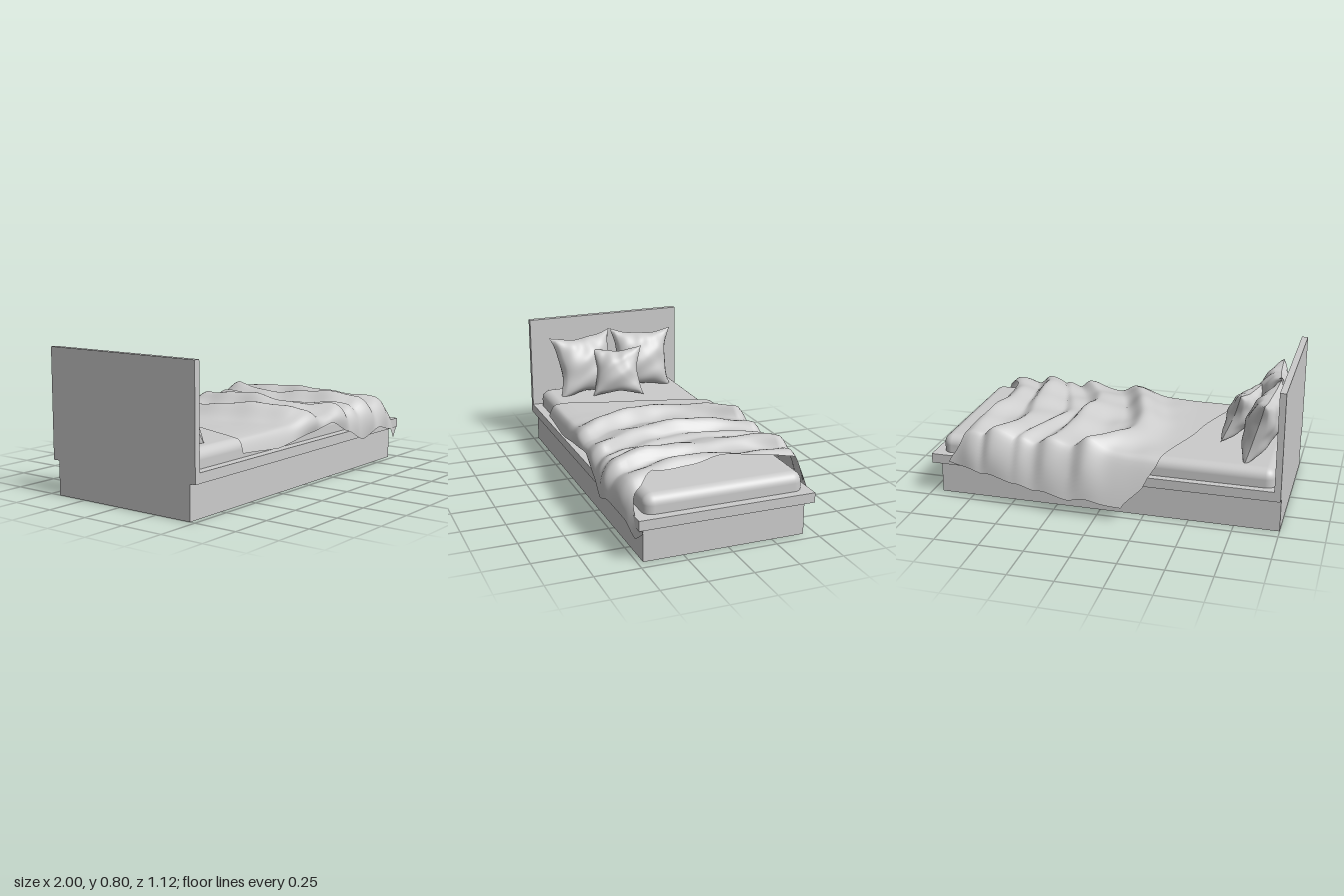
import * as THREE from 'three';
import { mergeVertices } from 'three/addons/utils/BufferGeometryUtils.js';
import { RoundedBoxGeometry } from 'three/addons/geometries/RoundedBoxGeometry.js';

const grey = new THREE.MeshStandardMaterial({ color: 0xcccccc });
grey.name = 'plain grey';
const greyCloth = new THREE.MeshStandardMaterial({ color: 0xcccccc, side: THREE.DoubleSide });
greyCloth.name = 'plain grey cloth';

function mesh(name, geometry, material = grey) {
  const m = new THREE.Mesh(geometry, material);
  m.name = name;
  return m;
}

// Box given by its limits
function box(name, x0, x1, y0, y1, z0, z1, radius = 0) {
  const size = [x1 - x0, y1 - y0, z1 - z0];
  const g = radius ? new RoundedBoxGeometry(...size, 5, radius) : new THREE.BoxGeometry(...size);
  g.translate((x0 + x1) / 2, (y0 + y1) / 2, (z0 + z1) / 2);
  return mesh(name, g);
}

// Smoothed look-up in a list of [position, value]
function curve(points, t) {
  if (t <= points[0][0]) return points[0][1];
  for (let i = 1; i < points.length; i++) {
    const [a, va] = points[i - 1], [b, vb] = points[i];
    if (t <= b) return va + (vb - va) * (0.5 * (t - a) / (b - a) + 0.5 * THREE.MathUtils.smoothstep(t, a, b));
  }
  return points[points.length - 1][1];
}

// Sheet of (nu x nv) cells placed by a rule; u and v run 0..1
function sheet(nu, nv, rule) {
  const g = new THREE.PlaneGeometry(1, 1, nu, nv);
  const p = g.attributes.position;
  for (let i = 0; i < p.count; i++) p.setXYZ(i, ...rule(p.getX(i) + 0.5, p.getY(i) + 0.5));
  g.computeVertexNormals();
  return g;
}

// Cushion with pointed corners and drawn-in edges, facing +x
function pillow(name, width, height, depth, seed) {
  const n = 28, group = new THREE.Group();
  group.name = name;
  for (const side of [1, -1]) {
    const g = sheet(n, n, (a, b) => {
      const u = a * 2 - 1, v = b * 2 - 1;
      const z = -width / 2 * u * (1 - 0.2 * (1 - v * v) + 0.02 * Math.sin(5 * v + seed) * (1 - v * v));
      const y = height / 2 * v * (1 - 0.17 * (1 - u * u) + 0.02 * Math.sin(6 * u + seed) * (1 - u * u));
      const puff = Math.pow(Math.max(0, (1 - u * u) * (1 - v * v)), 0.5);
      const edge = Math.max(Math.abs(u), Math.abs(v));
      const crease = 1 + 0.09 * edge * Math.sin(9 * u * v + 5 * u + seed) + 0.05 * Math.sin(7 * v - 4 * u + seed);
      return [side * depth / 2 * puff * crease, y, z];
    });
    if (side < 0) g.setIndex(Array.from(g.index.array).reverse());
    g.deleteAttribute('uv');
    g.deleteAttribute('normal');
    const joined = mergeVertices(g);
    joined.computeVertexNormals();
    group.add(mesh(side > 0 ? 'pillowFront' : 'pillowBack', joined));
  }
  return group;
}

// Blanket outline and hems. v runs from the back hem (-1) to the front hem (1)
const headEdge = [[-1, -0.15], [-0.86, -0.27], [-0.72, -0.34], [0, -0.47], [0.7, -0.6], [1, -0.61]];
const footEdge = [[-1, 0.87], [-0.7, 0.78], [0, 0.73], [0.55, 0.75], [0.75, 0.85], [1, 1.0]];
const frontHemY = [[-0.61, 0.28], [-0.3, 0.26], [0, 0.3], [0.2, 0.33], [0.35, 0.26], [0.5, 0.19],
  [0.66, 0.24], [0.85, 0.2], [0.93, 0.13], [1, 0.18]];
const frontHemZ = [[-0.6, 0.5], [0, 0.515], [0.3, 0.53], [0.65, 0.56], [0.85, 0.53], [1, 0.49]];
const backHemY = [[-0.15, 0.08], [0.15, 0.09], [0.5, 0.14], [0.87, 0.21]];
const backHemZ = [[-0.3, -0.55], [0.15, -0.565], [0.4, -0.545], [0.7, -0.53], [0.87, -0.49]];
// Folds: centre x, height, bend toward the foot, back width, steep width
const folds = [[-0.14, 0.08, 0.9, 0.1, 0.06], [0.17, 0.075, 0.7, 0.11, 0.05],
  [0.33, 0.04, 0.5, 0.06, 0.04], [0.5, 0.075, 0.5, 0.11, 0.05], [0.7, 0.06, 0.3, 0.09, 0.06]];

function foldHeight(x, z) {
  let h = 0;
  folds.forEach(([c, amp, bend, back, steep], i) => {
    const d = x - c - bend * z * z - 0.025 * Math.sin(9 * z + i * 2.3);
    const w = d < 0 ? back : steep;
    h = Math.max(h, amp * (0.8 + 0.2 * Math.sin(8 * z + i * 1.9)) * Math.exp(-d * d / (w * w)));
  });
  const worn = THREE.MathUtils.smoothstep(x, -0.4, 0);
  return h + worn * (0.014 + 0.007 * Math.sin(23 * x + 9 * z) * Math.sin(17 * z - 8 * x));
}

function blanketPoint(s, t) {
  const v = t * 2 - 1, e = 0.72;
  const x = THREE.MathUtils.lerp(curve(headEdge, v), curve(footEdge, v), s);
  if (Math.abs(v) <= e) {
    const z = v / e * 0.45;
    const droop = 0.02 * Math.pow(Math.abs(v) / e, 8);
    const flare = 0.06 * THREE.MathUtils.smoothstep(x, 0.78, 0.95);
    return [x, 0.36 - droop * 0.4 - flare + foldHeight(x, z), z];
  }
  // Hanging sides: from the shoulder over the platform edge to the hem
  const k = (Math.abs(v) - e) / (1 - e), front = v > 0;
  const zs = front ? 0.45 : -0.45;
  const f = foldHeight(x, zs);
  const flare = 0.06 * THREE.MathUtils.smoothstep(x, 0.78, 0.95);
  const y0 = 0.352 - flare + f;
  const y1 = curve(front ? frontHemY : backHemY, x) + (front ? 0 : 0.3 * f);
  const z1 = curve(front ? frontHemZ : backHemZ, x);
  const out = Math.pow(k, front ? 0.5 : 0.7);
  const z = zs + (z1 - zs) * out + Math.sign(v) * 0.35 * f * Math.sin(Math.PI * k) * (front ? 1 : 0.6);
  return [x, y0 + (y1 - y0) * (front ? Math.pow(k, 1.2) : k), z];
}

export function createModel() {
  const bed = new THREE.Group();
  bed.name = 'bed';

  // Frame and mattress
  bed.add(box('base', -1, 0.94, 0, 0.19, -0.435, 0.47));
  bed.add(box('platform', -1, 0.98, 0.19, 0.245, -0.475, 0.505));
  bed.add(box('headboard', -1, -0.965, 0.245, 0.8, -0.475, 0.505));
  bed.add(box('mattress', -0.965, 0.93, 0.195, 0.345, -0.435, 0.455, 0.055));

  // Pillows leaning on the headboard: size, position, lean, twist, roll
  const pillows = [
    ['leftPillow', 0.41, 0.4, 0.19, [-0.84, 0.515, 0.19], 0.32, 0.08, 0.05],
    ['rightPillow', 0.4, 0.39, 0.18, [-0.85, 0.515, -0.19], 0.28, -0.08, -0.05],
    ['smallPillow', 0.32, 0.31, 0.15, [-0.71, 0.488, 0.02], 0.36, -0.3, 0.03],
  ];
  pillows.forEach(([name, w, h, d, pos, lean, twist, roll], i) => {
    const p = pillow(name, w, h, d, i * 2.1);
    p.position.set(...pos);
    p.rotation.set(roll, twist, lean, 'YZX');
    bed.add(p);
  });

  // Rumpled blanket, seen from both sides
  const g = sheet(110, 80, (u, v) => blanketPoint(u, 1 - v));
  bed.add(mesh('blanket', g, greyCloth));
  return bed;
}
